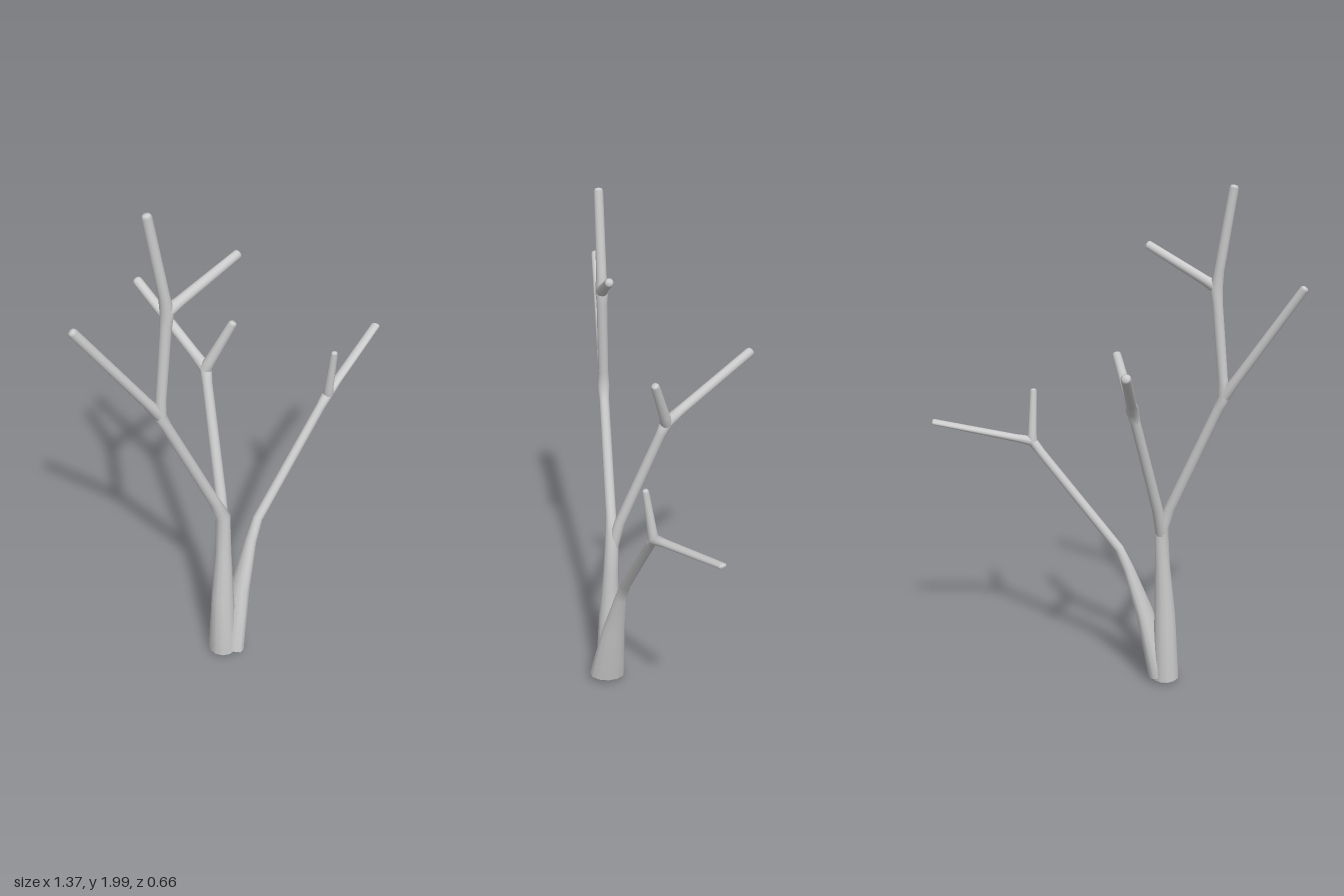
import * as THREE from 'three';

const SIDES = 12;
const material = new THREE.MeshStandardMaterial({ color: 0xcccccc });

// Lofts a closed limb through stations [x, y, z, radius toward z, radius across].
function limb(name, stations) {
  const pts = stations.map(s => new THREE.Vector3(s[0], s[1], s[2]));
  const n = pts.length;
  const rings = [];
  stations.forEach((s, i) => {
    const t = new THREE.Vector3();
    if (i > 0) t.add(pts[i].clone().sub(pts[i - 1]).normalize());
    if (i < n - 1) t.add(pts[i + 1].clone().sub(pts[i]).normalize());
    t.normalize();
    const u = new THREE.Vector3(0, 0, 1).addScaledVector(t, -t.z).normalize();
    const v = t.clone().cross(u);
    const ring = (k, offset) => rings.push({
      c: pts[i].clone().addScaledVector(t, offset), u, v, a: s[3] * k, b: (s[4] ?? s[3]) * k,
    });
    const r = Math.min(s[3], s[4] ?? s[3]);
    if (i === 0) { ring(0.001, -r * 0.3); ring(0.7, -r * 0.25); }
    ring(1, 0);
    if (i === n - 1) { ring(0.7, r * 0.45); ring(0.001, r * 0.6); }
  });

  const pos = [], index = [];
  rings.forEach(({ c, u, v, a, b }, j) => {
    for (let i = 0; i < SIDES; i++) {
      const ang = (i / SIDES) * Math.PI * 2;
      const p = c.clone().addScaledVector(u, a * Math.cos(ang)).addScaledVector(v, b * Math.sin(ang));
      pos.push(p.x, p.y, p.z);
      if (j === rings.length - 1) continue;
      const k = (i + 1) % SIDES, o = j * SIDES, q = o + SIDES;
      index.push(o + i, o + k, q + i, o + k, q + k, q + i);
    }
  });
  const geo = new THREE.BufferGeometry();
  geo.setAttribute('position', new THREE.Float32BufferAttribute(pos, 3));
  geo.setIndex(index);
  geo.computeVertexNormals();
  const mesh = new THREE.Mesh(geo, material);
  mesh.name = name;
  return mesh;
}

// A side shoot that swells where it leaves the fork.
function shoot(name, from, to, r0, r1, r1b = r1) {
  const mid = from.map((f, i) => f + (to[i] - f) * 0.16);
  return limb(name, [[...from, r0 * 1.25], [...mid, r0], [...to, r1, r1b]]);
}

export function createModel() {
  const group = new THREE.Group();
  group.name = 'branchingTree';

  // Forks shared by several limbs
  const mainFork = [-0.155, 0.68, 0.217];
  const leftFork = [-0.39, 1.23, 0.205];
  const topFork = [-0.35, 1.63, 0.205];
  const backFork = [-0.105, 1.2, 0.01];
  const sideFork = [0.345, 0.995, 0.13];

  group.add(
    // Main trunk running on into the tall limb
    limb('trunk', [
      [-0.172, 0.025, 0.24, 0.056, 0.054],
      [-0.168, 0.3, 0.235, 0.042, 0.042],
      [-0.158, 0.52, 0.225, 0.03, 0.029],
      [...mainFork, 0.027],
      [-0.19, 0.765, 0.214, 0.021],
      [-0.37, 1.18, 0.206, 0.019],
      [...leftFork, 0.023],
      [-0.384, 1.29, 0.205, 0.019],
      [-0.355, 1.58, 0.205, 0.02],
      [...topFork, 0.024],
      [-0.358, 1.69, 0.204, 0.019],
      [-0.405, 1.985, 0.2, 0.017],
    ]),
    // Second stem, flared front to back at its foot
    limb('secondStem', [
      [-0.143, 0.04, 0.253, 0.072, 0.042],
      [-0.085, 0.3, 0.228, 0.045, 0.032],
      [-0.025, 0.49, 0.203, 0.024, 0.021],
      [0.012, 0.575, 0.19, 0.019],
      [0.31, 0.95, 0.136, 0.017],
      [...sideFork, 0.02],
      [0.4, 1.01, 0.1, 0.018, 0.014],
      [0.675, 1.086, -0.043, 0.018, 0.01],
    ]),
    // Rear limb from the main fork
    limb('backLimb', [
      [-0.158, 0.62, 0.222, 0.024],
      [-0.147, 0.76, 0.185, 0.021],
      [-0.11, 1.15, 0.03, 0.019],
      [...backFork, 0.024],
      [-0.122, 1.24, -0.05, 0.019],
      [-0.198, 1.415, -0.318, 0.018],
    ]),
    // Side shoots
    shoot('leftShoot', leftFork, [-0.67, 1.65, 0.19], 0.018, 0.016),
    shoot('topShoot', topFork, [-0.092, 1.765, 0.208], 0.019, 0.016),
    shoot('backShoot', backFork, [-0.025, 1.39, 0.062], 0.02, 0.016),
    shoot('sideShoot', sideFork, [0.346, 1.19, 0.155], 0.017, 0.012, 0.013),
  );

  return group;
}
